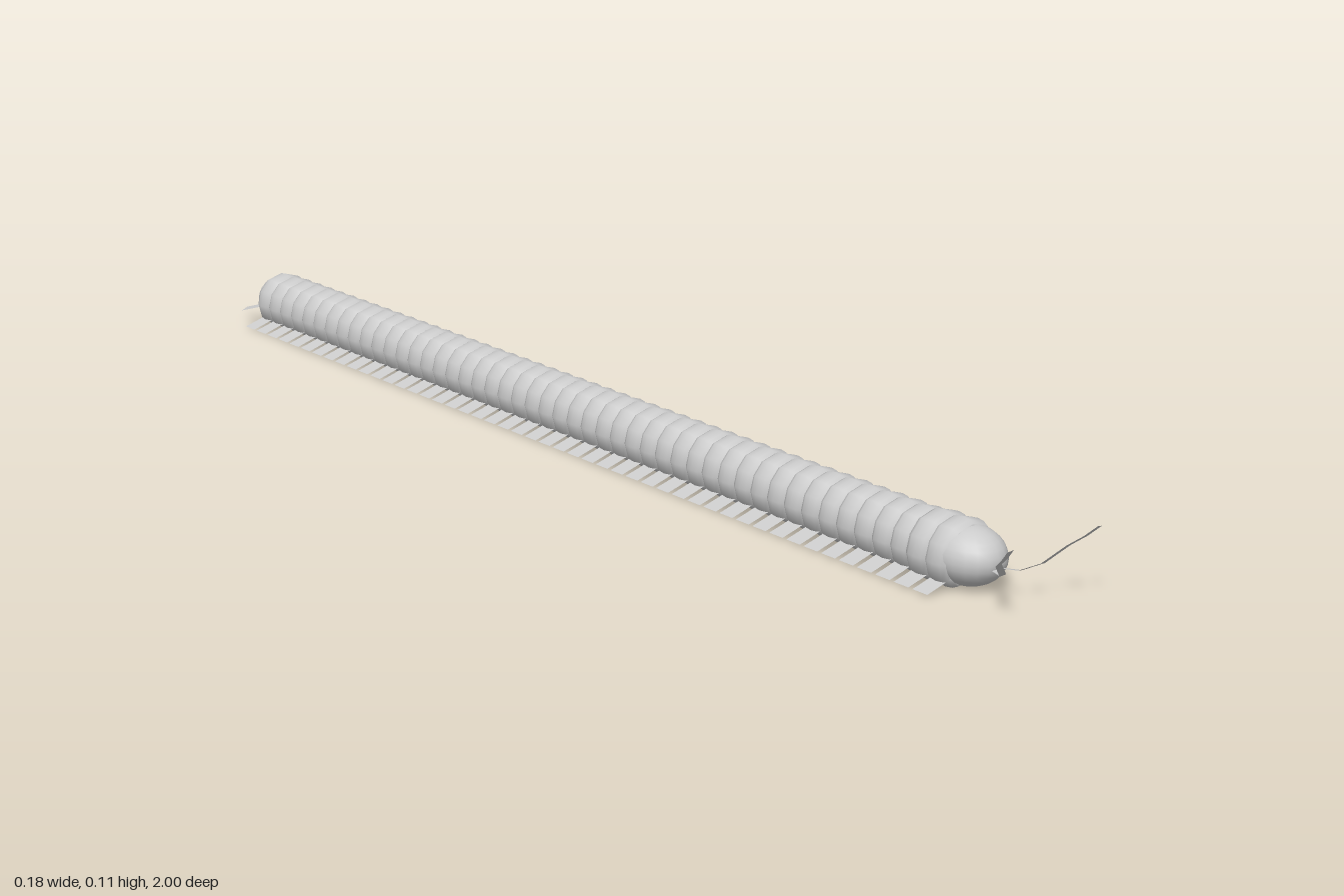
import * as THREE from 'three';

const grey = new THREE.MeshStandardMaterial({ color: 0xcccccc, side: THREE.DoubleSide });

// Half of the ring outline, from the top centre down to the belly groove
const half = [[0, 0.097], [0.03, 0.088], [0.048, 0.067], [0.055, 0.04], [0.048, 0.014], [0.028, 0.001], [0, 0.006]];
const outline = [...half, ...half.slice(1, -1).reverse().map(([x, y]) => [-x, y])];
const CENTRE_Y = 0.045;

// Skin a list of equal-length cross-sections (arrays of Vector3)
function loft(sections, closed) {
  const n = sections[0].length;
  const index = [];
  for (let s = 0; s < sections.length - 1; s++) {
    for (let i = 0; i < (closed ? n : n - 1); i++) {
      const a = s * n + i, b = s * n + (i + 1) % n;
      index.push(a, a + n, b, b, a + n, b + n);
    }
  }
  const geo = new THREE.BufferGeometry().setFromPoints(sections.flat());
  geo.setIndex(index);
  geo.computeVertexNormals();
  return geo;
}

function addMesh(group, name, geo) {
  const mesh = new THREE.Mesh(geo, grey);
  mesh.name = name;
  group.add(mesh);
  return mesh;
}

// One bulging body ring running from z = 0 back to z = -length
function ringGeometry(length, size) {
  const profile = [[0, 0.8], [0, 0.89], [0.2, 0.97], [0.5, 1], [0.8, 0.97], [1, 0.89], [1, 0.8]];
  return loft(profile.map(([t, k]) => outline.map(([x, y]) =>
    new THREE.Vector3(x * k * size, CENTRE_Y + (y - CENTRE_Y) * k * size, -t * length))), true);
}

// Flat ribbon along a path, widened by a fixed direction
function ribbon(points, across) {
  return loft(points.map((p) => [
    new THREE.Vector3(...p).sub(across),
    new THREE.Vector3(...p).add(across),
  ]), false);
}

export function createModel() {
  const model = new THREE.Group();
  model.name = 'millipede';
  const COUNT = 48, START = 0.847, PITCH = 0.0372;

  // Body rings, the first two forming a larger collar
  const body = new THREE.Group();
  body.name = 'body';
  model.add(body);
  const ring = ringGeometry(PITCH * 1.04, 0.94);
  const collar = ringGeometry(PITCH * 1.1, 1);
  for (let i = 0; i < COUNT; i++) {
    const mesh = addMesh(body, i < 2 ? 'collarRing' : 'bodyRing', i < 2 ? collar : ring);
    mesh.position.z = START - i * PITCH;
  }

  // Rounded head and tail caps
  const head = addMesh(model, 'head', new THREE.SphereGeometry(1, 20, 14));
  head.scale.set(0.05, 0.043, 0.06);
  head.position.set(0, 0.046, 0.84);
  const tail = addMesh(model, 'tail', new THREE.SphereGeometry(1, 20, 14));
  tail.scale.set(0.046, 0.042, 0.055);
  tail.position.set(0, 0.047, -0.92);

  for (const side of [1, -1]) {
    const sideName = side > 0 ? 'left' : 'right';

    // Row of flat legs, one to each ring
    const legs = new THREE.Group();
    legs.name = sideName + 'Legs';
    model.add(legs);
    const leg = ribbon([[side * 0.04, 0.016, 0], [side * 0.053, 0.011, -0.001], [side * 0.075, 0.003, -0.003]],
      new THREE.Vector3(0, 0, 0.0145));
    for (let i = 0; i < COUNT; i++) {
      addMesh(legs, 'leg', leg).position.z = START - (i + 0.5) * PITCH;
    }

    // Curved ribbon antenna
    const path = [[0.004, 0.04, 0.893], [0.016, 0.042, 0.923], [0.038, 0.053, 0.943], [0.066, 0.078, 0.962], [0.076, 0.095, 0.983], [0.084, 0.112, 1]];
    addMesh(model, sideName + 'Antenna', ribbon(path.map(([x, y, z]) => [side * x, y, z]),
      new THREE.Vector3(side * 0.005, -0.001, -0.001)));

    // Small flat tail plate
    addMesh(model, sideName + 'TailPlate', ribbon(
      [[side * 0.022, 0.034, -0.95], [side * 0.046, 0.021, -0.99]],
      new THREE.Vector3(side * 0.011, 0, 0.009)));
  }
  return model;
}
